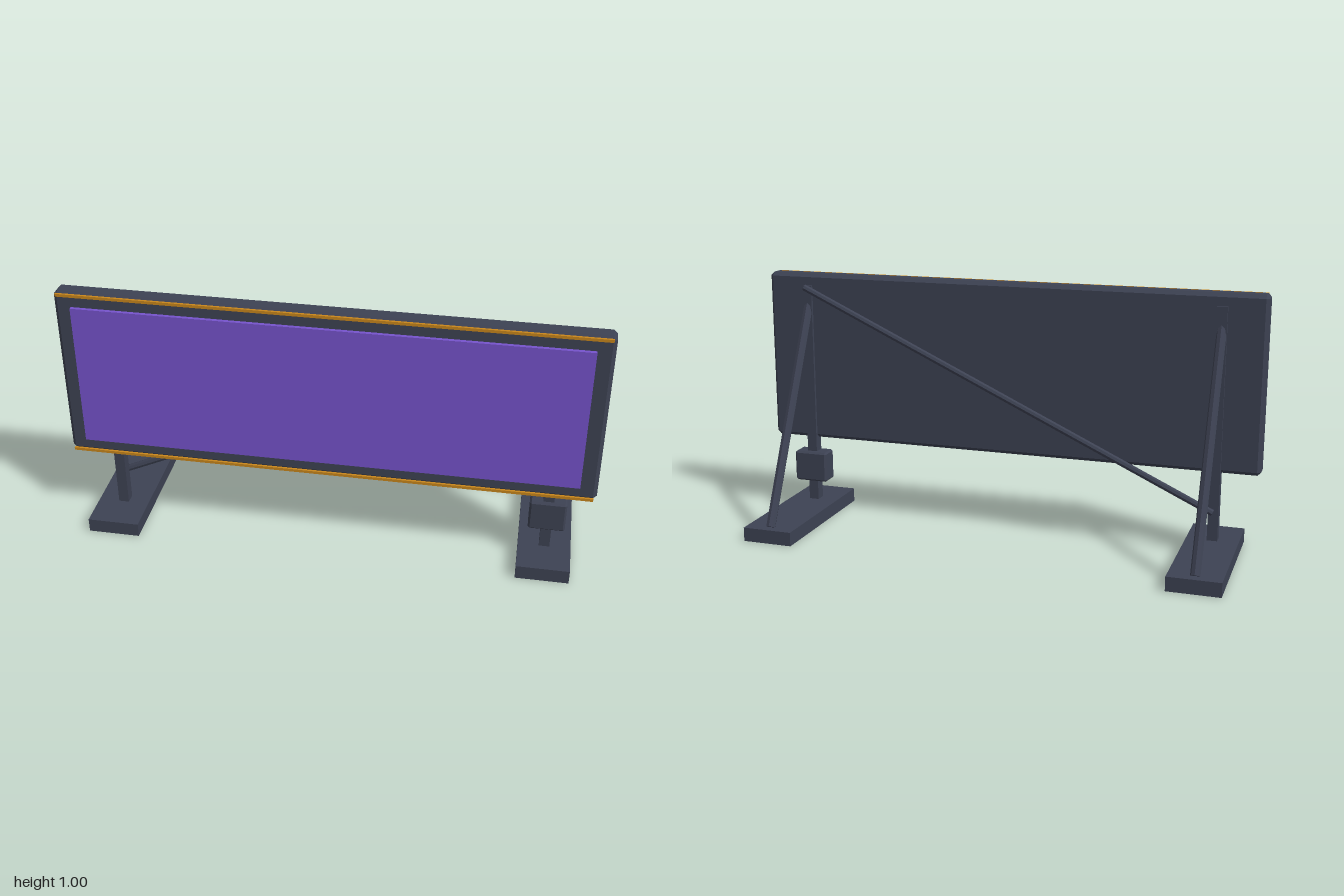
import * as THREE from 'three';
import { ConvexGeometry } from 'three/addons/geometries/ConvexGeometry.js';

function material(name, color) {
  const m = new THREE.MeshStandardMaterial({ color });
  m.name = name;
  return m;
}

// Box with every edge cut by a flat chamfer
function chamferBox(w, h, d, c) {
  const points = [];
  for (const x of [-1, 1]) for (const y of [-1, 1]) for (const z of [-1, 1]) {
    for (let axis = 0; axis < 3; axis++) {
      const cut = [c, c, c];
      cut[axis] = 0;
      points.push(new THREE.Vector3(x * (w / 2 - cut[0]), y * (h / 2 - cut[1]), z * (d / 2 - cut[2])));
    }
  }
  return new ConvexGeometry(points);
}

export function createModel() {
  const model = new THREE.Group();
  model.name = 'billboard';
  const frameGrey = material('frame slate', 0x3d4253);
  const screenPurple = material('screen purple', 0x7653cc);
  const trimAmber = material('trim amber', 0xc8861c);

  function add(name, geometry, mat, x = 0, y = 0, z = 0, parent = model) {
    const mesh = new THREE.Mesh(geometry, mat);
    mesh.name = name;
    mesh.position.set(x, y, z);
    parent.add(mesh);
    return mesh;
  }

  // Eight-sided rod between two points
  function rod(name, from, to, radius, parent = model) {
    const a = new THREE.Vector3(...from), b = new THREE.Vector3(...to);
    const dir = b.clone().sub(a);
    const geometry = new THREE.CylinderGeometry(radius, radius, dir.length(), 8).toNonIndexed();
    geometry.computeVertexNormals();
    const mesh = add(name, geometry, frameGrey, 0, 0, 0, parent);
    mesh.position.copy(a).add(b).multiplyScalar(0.5);
    mesh.quaternion.setFromUnitVectors(new THREE.Vector3(0, 1, 0), dir.normalize());
  }

  // Panel with its screen and edge trims
  add('panel', chamferBox(2, 0.68, 0.073, 0.014), frameGrey, 0, 0.66, 0.167);
  add('screen', new THREE.BoxGeometry(1.872, 0.566, 0.016), screenPurple, 0, 0.66, 0.209);
  for (const [name, y] of [['topTrim', 0.992], ['bottomTrim', 0.328]]) {
    add(name, new THREE.BoxGeometry(1.975, 0.011, 0.009), trimAmber, 0, y, 0.2105);
  }

  // Two supports: foot, post and sloping back brace
  const legX = 0.832;
  for (const [name, x] of [['leftSupport', legX], ['rightSupport', -legX]]) {
    const support = new THREE.Group();
    support.name = name;
    support.position.x = x;
    model.add(support);
    add('foot', new THREE.BoxGeometry(0.2, 0.055, 0.6), frameGrey, 0, 0.0275, 0, support);
    add('post', new THREE.BoxGeometry(0.04, 0.9, 0.042), frameGrey, 0, 0.502, 0.14, support);
    rod('backBrace', [0, 0.057, -0.266], [0, 0.885, 0.14], 0.0185, support);
  }

  // Diagonal tie across the back
  rod('diagonalTie', [-legX, 0.172, 0.1], [legX, 0.948, 0.1], 0.0135);

  // Control box on the left post
  add('controlBox', chamferBox(0.138, 0.124, 0.077, 0.007), frameGrey, legX, 0.201, 0.135);

  return model;
}
